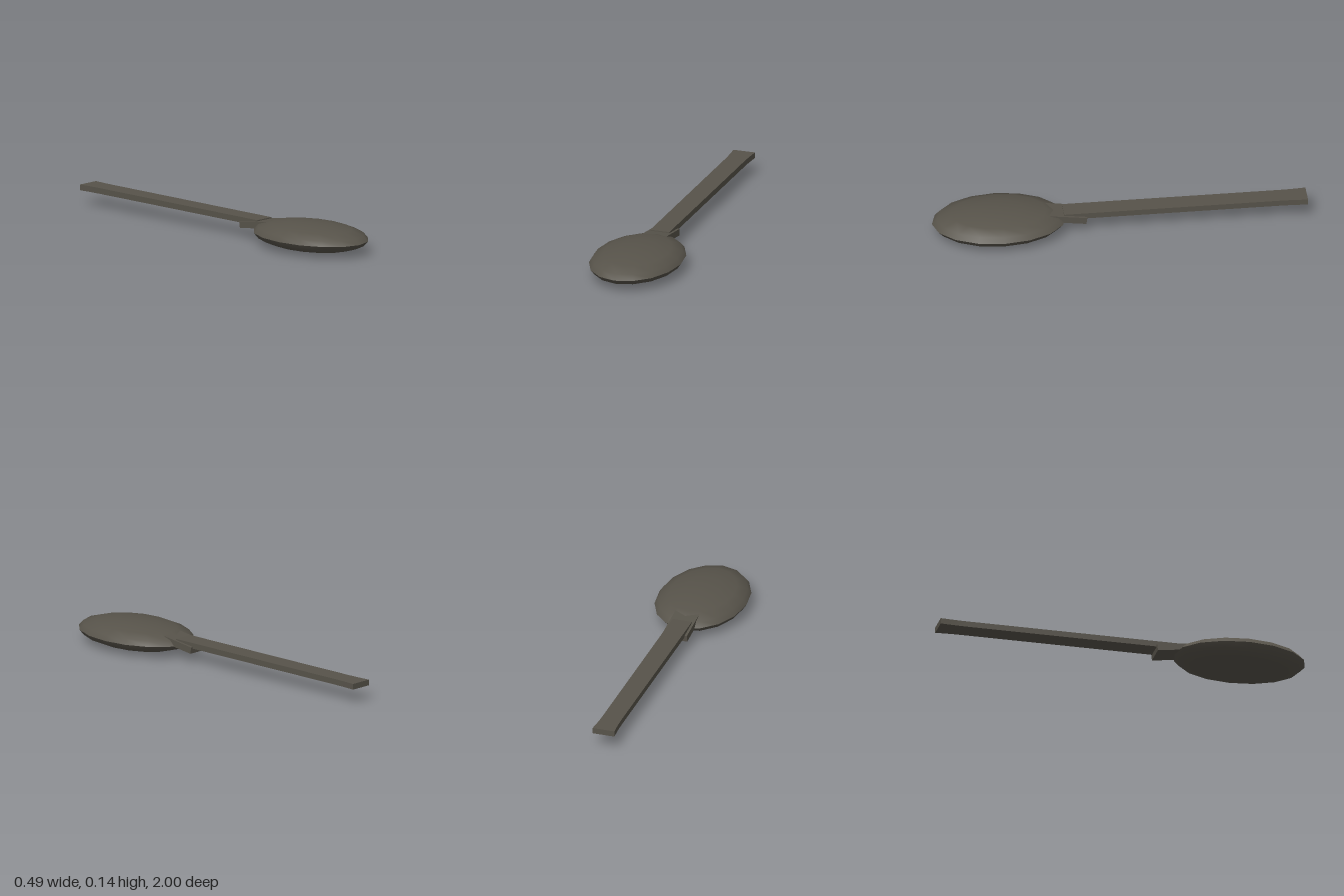
import * as THREE from 'three';
import { toCreasedNormals } from 'three/addons/utils/BufferGeometryUtils.js';

export function createModel() {
  const model = new THREE.Group();
  model.name = 'spoon';
  const metal = new THREE.MeshStandardMaterial({ color: 0x57534a });

  const addPart = (name, geometry) => {
    const mesh = new THREE.Mesh(toCreasedNormals(geometry, 0.7), metal);
    mesh.name = name;
    model.add(mesh);
    return mesh;
  };

  // Bowl: a flattened, elongated low-poly ellipsoid with a sharp rim
  const bowl = new THREE.SphereGeometry(1, 16, 8);
  bowl.scale(0.243, 0.0715, 0.358);
  addPart('bowl', bowl).position.set(0, 0.0735, 0.642);

  // Handle: a long flat bar that flares slightly at its far end
  const start = -1, end = 0.3;
  const handle = new THREE.BoxGeometry(1, 0.031, end - start, 1, 1, 26);
  handle.translate(0, 0.0965, (start + end) / 2);
  const p = handle.attributes.position;
  for (let i = 0; i < p.count; i++) {
    const flare = Math.max(0, 1 - (p.getZ(i) - start) / 0.15);
    p.setX(i, p.getX(i) * 2 * (0.054 + 0.007 * flare * flare));
  }
  addPart('handle', handle);

  // Collar: a tilted block joining the handle to the bowl
  const collar = addPart('collar', new THREE.BoxGeometry(0.134, 0.036, 0.24));
  collar.position.set(0, 0.088, 0.3);
  collar.rotation.x = -0.13;

  return model;
}
